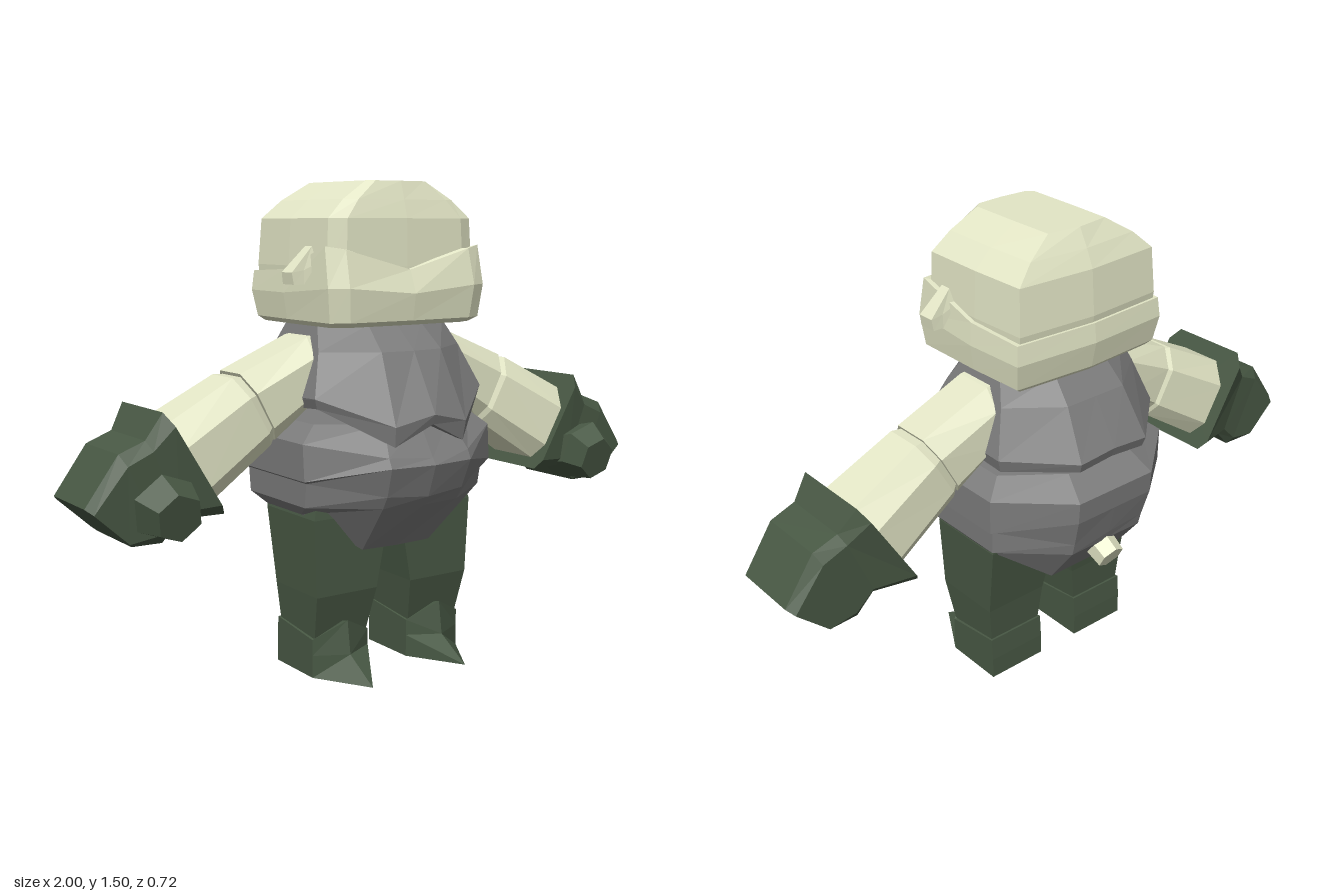
import * as THREE from 'three';

const mat = (color) => new THREE.MeshStandardMaterial({ color, flatShading: true });

// Closed faceted solid through a list of rings with equal point counts
function loft(rings) {
  const tris = [];
  const n = rings[0].length;
  for (let r = 0; r + 1 < rings.length; r++) {
    const a = rings[r], b = rings[r + 1];
    for (let i = 0; i < n; i++) {
      const j = (i + 1) % n;
      tris.push([a[i], a[j], b[j]], [a[i], b[j], b[i]]);
    }
  }
  const cap = (ring, flip) => {
    const c = [0, 1, 2].map((k) => ring.reduce((s, p) => s + p[k], 0) / n);
    ring.forEach((p, i) => {
      const q = ring[(i + 1) % n];
      tris.push(flip ? [c, q, p] : [c, p, q]);
    });
  };
  cap(rings[0], true);
  cap(rings[rings.length - 1], false);
  // Turn the faces outward whatever the ring direction
  const v = (p) => new THREE.Vector3(...p);
  const volume = tris.reduce((s, [a, b, c]) => s + v(a).dot(v(b).cross(v(c))), 0);
  if (volume < 0) tris.forEach((t) => t.reverse());
  const g = new THREE.BufferGeometry();
  g.setAttribute('position', new THREE.Float32BufferAttribute(tris.flat(2), 3));
  g.computeVertexNormals();
  return g;
}

// Horizontal outlines: half from front centre to back centre, then mirrored
const BODY = [[0, 1], [0.42, 0.95], [1, 0.52], [1, -0.52], [0.42, -1], [0, -1]];
const HEAD = [[0, 1], [0.8, 0.97], [1, 0.86], [1, -0.1], [0.97, -0.92], [0, -1]];
function outline(half, hx, front, back, y) {
  const pts = half.map(([x, z], i) => [x * hx, Array.isArray(y) ? y[i] : y, z > 0 ? z * front : z * back]);
  const mirrored = pts.slice(1, -1).reverse().map(([x, h, z]) => [-x, h, z]);
  return [...pts, ...mirrored];
}

// Limb section between a top and a bottom point, with depth from z0 to z1
const LIMB = [[0.55, 1], [1, 0.45], [1, -0.6], [0.7, -1], [-0.7, -1], [-1, -0.6], [-1, 0.45], [-0.55, 1]];
const GLOVE = [[0.8, 1], [1, 0.75], [1, -0.8], [0.85, -1], [-0.85, -1], [-1, -0.8], [-1, 0.75], [-0.8, 1]];
function section(shape, s, [tx, ty], [bx, by], z0, z1) {
  return shape.map(([u, w]) => {
    const t = (w + 1) / 2;
    return [s * (bx + (tx - bx) * t), by + (ty - by) * t, (z0 + z1) / 2 + (u * (z1 - z0)) / 2];
  });
}

// Rectangular leg section with a slight ridge at front
const legRing = (s, x0, x1, z0, z1, y, ridge = 0) =>
  [[x0, z0], [x1, z0], [x1, z1], [(x0 + x1) / 2, z1 + ridge], [x0, z1]].map(([x, z]) => [s * x, y, z]);

export function createModel() {
  const model = new THREE.Group();
  const cream = mat(0xe3e6c6), grey = mat(0x7c7c7c), green = mat(0x485844);
  const add = (name, geometry, material, parent = model) => {
    const m = new THREE.Mesh(geometry, material);
    m.name = name;
    parent.add(m);
    return m;
  };

  // Belly with hips cut upward over the legs
  add('belly', loft([
    outline(BODY, 0.3, 0.17, 0.2, [0.39, 0.39, 0.51, 0.51, 0.39, 0.39]),
    outline(BODY, 0.33, 0.3, 0.31, [0.54, 0.54, 0.545, 0.545, 0.53, 0.53]),
    outline(BODY, 0.332, 0.325, 0.32, [0.57, 0.58, 0.62, 0.62, 0.57, 0.56]),
    outline(BODY, 0.35, 0.36, 0.345, [0.67, 0.67, 0.63, 0.63, 0.66, 0.66]),
    outline(BODY, 0.35, 0.345, 0.35, [0.69, 0.7, 0.74, 0.74, 0.73, 0.73]),
    outline(BODY, 0.29, 0.28, 0.27, 0.79),
  ]), grey);

  // Jacket with a scalloped hem
  add('jacket', loft([
    outline(BODY, 0.3, 0.345, 0.325, [0.79, 0.73, 0.84, 0.82, 0.82, 0.83]),
    outline(BODY, 0.31, 0.355, 0.335, [0.82, 0.79, 0.87, 0.86, 0.85, 0.86]),
    outline(BODY, 0.262, 0.25, 0.25, 1.0),
    outline(BODY, 0.235, 0.16, 0.18, 1.075),
    outline(BODY, 0.2, 0.14, 0.15, 1.11),
  ]), grey);

  // Head: crown above a wider face band
  const head = new THREE.Group();
  head.name = 'head';
  model.add(head);
  add('crown', loft([
    outline(HEAD, 0.262, 0.215, 0.22, 1.15),
    outline(HEAD, 0.268, 0.215, 0.235, 1.25),
    outline(HEAD, 0.26, 0.212, 0.225, 1.39),
    outline(HEAD, 0.2, 0.197, 0.2, 1.445),
    outline(HEAD, 0.11, 0.18, 0.17, 1.5),
  ]), cream, head);
  add('faceBand', loft([
    outline(HEAD, 0.255, 0.22, 0.215, 1.075),
    outline(HEAD, 0.275, 0.245, 0.23, 1.09),
    outline(HEAD, 0.287, 0.257, 0.247, [1.17, 1.19, 1.19, 1.17, 1.17, 1.17]),
    outline(HEAD, 0.282, 0.23, 0.24, [1.24, 1.3, 1.31, 1.24, 1.23, 1.23]),
    outline(HEAD, 0.25, 0.2, 0.21, [1.24, 1.3, 1.3, 1.24, 1.23, 1.23]),
  ]), cream, head);

  // Tail stub
  const tail = add('tail', new THREE.CylinderGeometry(0.045, 0.055, 0.15, 6), cream);
  tail.position.set(0, 0.51, -0.27);
  tail.rotation.x = -2.07;

  for (const s of [1, -1]) {
    const side = s > 0 ? 'left' : 'right';

    // Ear, tapering towards the top
    const ear = [[0.265, 1.26, 0.03], [0.31, 1.2, 0.03], [0.345, 1.2, 0.03], [0.35, 1.235, 0.028], [0.275, 1.31, 0.018]];
    add(side + 'Ear', loft([1, -1].map((k) => ear.map(([x, y, w]) => [s * x, y, 0.1 + k * w]))), cream, head);

    // Arm in two pieces
    const arm = new THREE.Group();
    arm.name = side + 'Arm';
    model.add(arm);
    add('upperArm', loft([
      section(LIMB, s, [0.18, 1.06], [0.2, 0.86], -0.09, 0.09),
      section(LIMB, s, [0.26, 1.04], [0.27, 0.83], -0.115, 0.115),
      section(LIMB, s, [0.49, 0.945], [0.385, 0.745], -0.105, 0.115),
    ]), cream, arm);
    add('forearm', loft([
      section(LIMB, s, [0.48, 0.935], [0.38, 0.755], -0.09, 0.1),
      section(LIMB, s, [0.515, 0.935], [0.4, 0.73], -0.105, 0.115),
      section(LIMB, s, [0.77, 0.805], [0.62, 0.585], -0.125, 0.145),
    ]), cream, arm);

    // Glove with a flared cuff and a thumb
    add('glove', loft([
      section(GLOVE, s, [0.77, 0.865], [0.59, 0.56], -0.165, 0.165),
      section(GLOVE, s, [0.82, 0.79], [0.725, 0.56], -0.13, 0.15),
      section(GLOVE, s, [0.9, 0.76], [0.78, 0.5], -0.125, 0.15),
      section(GLOVE, s, [1, 0.62], [0.87, 0.5], -0.125, 0.145),
    ]), green, arm);
    const thumb = [[0.76, 0.6, 0.1, 0.09], [0.79, 0.61, 0.17, 0.098], [0.78, 0.59, 0.245, 0.07]];
    add('thumb', loft(thumb.map(([x, y, z, r]) => Array.from({ length: 6 }, (_, i) => {
      const a = (i * Math.PI) / 3 + 0.35;
      return [s * (x + r * Math.cos(a)), y + r * Math.sin(a), z + 0.25 * r * Math.sin(a)];
    }))), green, arm);

    // Leg
    const leg = new THREE.Group();
    leg.name = side + 'Leg';
    model.add(leg);
    add('trouser', loft([
      legRing(s, 0.085, 0.27, -0.075, 0.11, 0.1),
      legRing(s, 0.065, 0.285, -0.085, 0.15, 0.26),
      legRing(s, 0.02, 0.295, -0.12, 0.155, 0.5),
      legRing(s, 0.02, 0.27, -0.12, 0.14, 0.6),
    ]), green, leg);

    // Boot with a pointed, sloping toe
    const boot = [
      legRing(s, 0.075, 0.28, -0.09, 0.115, 0, 0.175),
      legRing(s, 0.075, 0.28, -0.09, 0.115, 0.07, 0.055),
      legRing(s, 0.075, 0.28, -0.085, 0.115, 0.12, 0.04),
    ];
    boot[2][3][1] = 0.175;
    boot[2][0][1] = boot[2][1][1] = 0.145;
    add('boot', loft(boot), green, leg);
  }
  return model;
}
